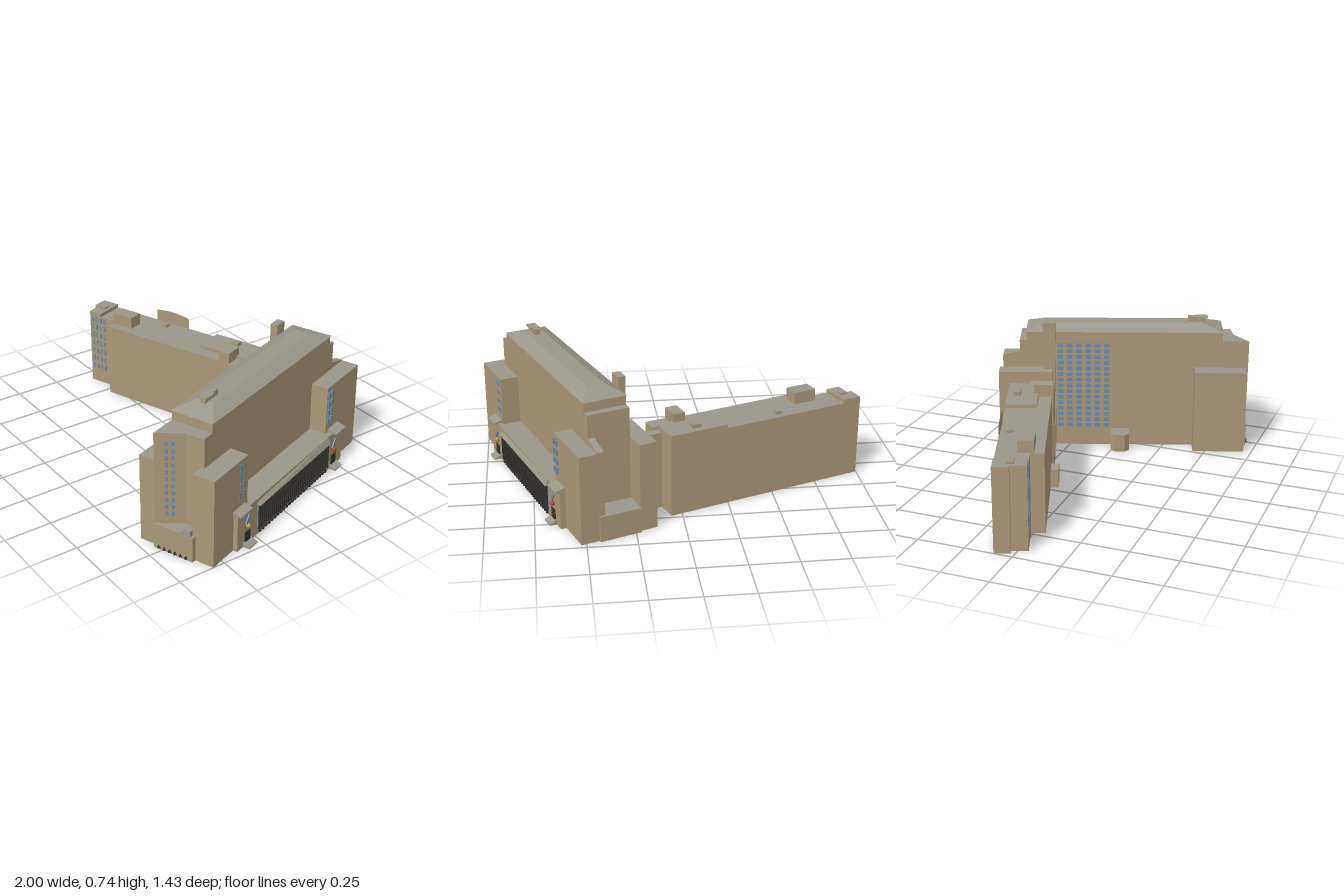
import * as THREE from 'three';
import { mergeGeometries } from 'three/addons/utils/BufferGeometryUtils.js';

const mat = (color) => new THREE.MeshStandardMaterial({ color, flatShading: true });

export function createModel() {
  const wall = mat(0xa99878), roof = mat(0x99968a), glass = mat(0x6c8cae);
  const dark = mat(0x35322e), red = mat(0xb03a2e), yellow = mat(0xb79a3a);
  const model = new THREE.Group();
  // The whole plan is laid out square, then turned by 20 degrees
  const site = new THREE.Group();
  site.name = 'building';
  site.rotation.y = THREE.MathUtils.degToRad(20);
  model.add(site);

  const add = (name, geometry, material) => {
    const mesh = new THREE.Mesh(geometry, material);
    mesh.name = name;
    site.add(mesh);
    return mesh;
  };
  const boxGeo = (x0, x1, z0, z1, y0, y1) =>
    new THREE.BoxGeometry(x1 - x0, y1 - y0, z1 - z0)
      .translate((x0 + x1) / 2, (y0 + y1) / 2, (z0 + z1) / 2);
  // Masonry block with a grey roof
  const block = (name, x0, x1, z0, z1, y1, y0 = 0) =>
    add(name, boxGeo(x0, x1, z0, z1, y0, y1), [wall, wall, roof, wall, wall, wall]);
  // Upright prism over a plan outline of [x, z] points
  const prism = (name, points, y0, y1) => {
    const shape = new THREE.Shape(points.map(([x, z]) => new THREE.Vector2(x, -z)));
    const g = new THREE.ExtrudeGeometry(shape, { depth: y1 - y0, bevelEnabled: false });
    return add(name, g.rotateX(-Math.PI / 2).translate(0, y0, 0), [roof, wall]);
  };
  // Box whose top vertices are moved by a rule
  const shaped = (name, box, rule, material) => {
    const g = boxGeo(...box), p = g.attributes.position, v = new THREE.Vector3();
    for (let i = 0; i < p.count; i++) {
      v.fromBufferAttribute(p, i);
      if (v.y > box[5] - 1e-4) { rule(v); p.setXYZ(i, v.x, v.y, v.z); }
    }
    g.computeVertexNormals();
    return add(name, g, material);
  };
  // Grid of small panes; pane(column, row) returns a geometry
  const grid = (name, cols, rows, pane, material = glass) => {
    const list = [];
    for (let c = 0; c < cols; c++) for (let r = 0; r < rows; r++) list.push(pane(c, r));
    return add(name, mergeGeometries(list), material);
  };

  // Long wing
  block('wingBody', -0.877, -0.1, -0.433, -0.267, 0.425);
  block('wingFrontBay', -0.69, 0.08, -0.267, -0.196, 0.425);
  block('wingInnerEnd', -0.1, 0.219, -0.433, -0.267, 0.445);
  block('wingOuterStep', -0.903, -0.877, -0.433, -0.35, 0.445);
  block('wingEndParapet', -0.877, -0.8, -0.433, -0.267, 0.445, 0.42);
  block('wingEndVent', -0.86, -0.82, -0.37, -0.33, 0.455, 0.44);
  block('roofPlantRoom', -0.686, -0.56, -0.327, -0.245, 0.49, 0.42);
  block('roofVent', -0.44, -0.405, -0.4, -0.37, 0.44, 0.42);
  block('roofHatch', 0.03, 0.08, -0.4, -0.36, 0.465, 0.44);
  block('wingStairTower', 0.07, 0.135, -0.29, -0.19, 0.49);
  block('wingPorch', -0.165, -0.082, -0.2, -0.153, 0.1);
  block('linkLobby', 0.135, 0.244, -0.267, -0.188, 0.43);
  block('linkPassage', 0.21, 0.34, -0.325, -0.275, 0.42);
  // Sloping screen at the rear roof edge, seen from the front
  const screen = new THREE.Shape();
  screen.moveTo(-0.51, 0.425);
  screen.lineTo(-0.51, 0.49);
  screen.quadraticCurveTo(-0.39, 0.51, -0.29, 0.485);
  screen.lineTo(-0.29, 0.425);
  add('roofScreen', new THREE.ShapeGeometry(screen).translate(0, 0, -0.43), wall);
  grid('wingEndWindows', 4, 7, (c, r) => {
    const x = -0.865 + c * 0.028, y = 0.085 + r * 0.05;
    return boxGeo(x, x + 0.013, -0.268, -0.265, y, y + 0.033);
  });

  // Main tower: angled front notch, upper storey and hipped roof
  prism('towerBody', [[0.425, -0.39], [0.648, -0.39], [0.648, 0.803],
    [0.55, 0.81], [0.425, 0.887]], 0, 0.625);
  block('towerUpperStorey', 0.425, 0.648, -0.35, 0.74, 0.675, 0.62);
  shaped('hippedRoof', [0.42, 0.653, -0.355, 0.745, 0.675, 0.71], (v) => {
    v.x = 0.5365 + Math.sign(v.x - 0.5365) * 0.045;
    v.z = v.z > 0 ? 0.63 : -0.25;
  }, roof);
  block('roofRidgeVent', 0.52, 0.55, 0.55, 0.65, 0.738, 0.7);
  block('roofRidgeCap', 0.51, 0.56, 0.59, 0.66, 0.738, 0.73);
  block('towerChimney', 0.385, 0.426, -0.26, -0.19, 0.735);
  grid('towerSideWindows', 6, 15, (c, r) => {
    const z = -0.18 + c * 0.052, y = 0.11 + r * 0.034;
    return boxGeo(0.422, 0.426, z, z + 0.032, y, y + 0.022);
  });
  grid('notchWindows', 2, 11, (c, r) => {
    const g = new THREE.BoxGeometry(0.014, 0.024, 0.004);
    return g.rotateY(0.552).translate(0.475 + c * 0.026, 0.19 + r * 0.038, 0.857 - c * 0.016);
  });

  // Four corner blocks
  block('backLeftBlock', 0.332, 0.425, -0.503, -0.205, 0.47);
  block('backRightBlock', 0.62, 0.742, -0.503, -0.18, 0.47);
  block('frontLeftBlock', 0.332, 0.444, 0.586, 0.873, 0.47);
  block('frontRightBlock', 0.63, 0.748, 0.586, 0.87, 0.47);
  shaped('backSlopedWall', [0.612, 0.648, -0.5, -0.385, 0, 0.505],
    (v) => { if (v.z < -0.45) v.y = 0.475; }, [wall, wall, roof, wall, wall, wall]);
  for (const z of [-0.23, 0.61]) {
    grid('cornerBlockWindows', 2, 4, (c, r) => {
      const z0 = z + c * 0.032, y = 0.265 + r * 0.05;
      return boxGeo(0.74, 0.751, z0, z0 + 0.014, y, y + 0.03);
    });
  }

  // Low ledges filling the end recesses
  block('frontLedge', 0.425, 0.646, 0.78, 0.893, 0.135);
  block('backLedge', 0.425, 0.646, -0.517, -0.38, 0.135);
  shaped('frontLedgeRamp', [0.57, 0.63, 0.82, 0.89, 0.13, 0.165],
    (v) => { if (v.x < 0.6) v.y = 0.137; }, roof);
  grid('frontPlanters', 6, 1, (c) =>
    new THREE.ConeGeometry(0.011, 0.018, 4).translate(0.455 + c * 0.031, 0.018, 0.896), dark);

  // Side podium with a long glazed screen
  block('sidePodium', 0.64, 0.772, -0.31, 0.705, 0.205);
  add('screenGlass', boxGeo(0.77, 0.776, -0.15, 0.53, 0.03, 0.172), glass);
  grid('screenFins', 36, 1, (c) => {
    const z = -0.15 + c * 0.0191;
    return boxGeo(0.774, 0.784, z, z + 0.007, 0.03, 0.172);
  }, dark);
  shaped('screenCanopy', [0.77, 0.79, -0.155, 0.535, 0.172, 0.203],
    (v) => { v.x = Math.min(v.x, 0.774); if (v.z > 0) v.y = 0.187; }, roof);
  grid('screenPlanters', 24, 1, (c) =>
    boxGeo(0.77, 0.782, -0.14 + c * 0.028, -0.127 + c * 0.028, 0.008, 0.02), dark);

  // Side doorways with canopy, steps, lamp and tilted panel
  [[-0.22, -0.255, red], [0.62, 0.66, yellow]].forEach(([z, zc, lamp]) => {
    add('sideDoor', boxGeo(0.77, 0.778, z - 0.022, z + 0.022, 0.02, 0.075), dark);
    shaped('doorStep', [0.77, 0.81, z - 0.035, z + 0.035, 0, 0.025],
      (v) => { if (v.x > 0.79) v.y = 0.006; }, roof);
    shaped('doorCanopy', [0.74, 0.795, zc - 0.05, zc + 0.05, 0.2, 0.222],
      (v) => { if (v.x > 0.76) v.y = 0.207; }, roof);
    add('doorLamp', new THREE.SphereGeometry(0.013, 10, 8).translate(0.778, 0.105, z), lamp);
    add('doorPanel', new THREE.BoxGeometry(0.006, 0.055, 0.013).rotateX(-0.6)
      .translate(0.776, 0.14, z), glass);
  });

  // Faceted entrance pavilion on the courtyard side
  prism('courtyardEntrance', [[0.43, 0.12], [0.43, 0.225], [0.345, 0.225],
    [0.318, 0.2], [0.318, 0.145], [0.345, 0.12]], 0, 0.1);

  return model;
}
